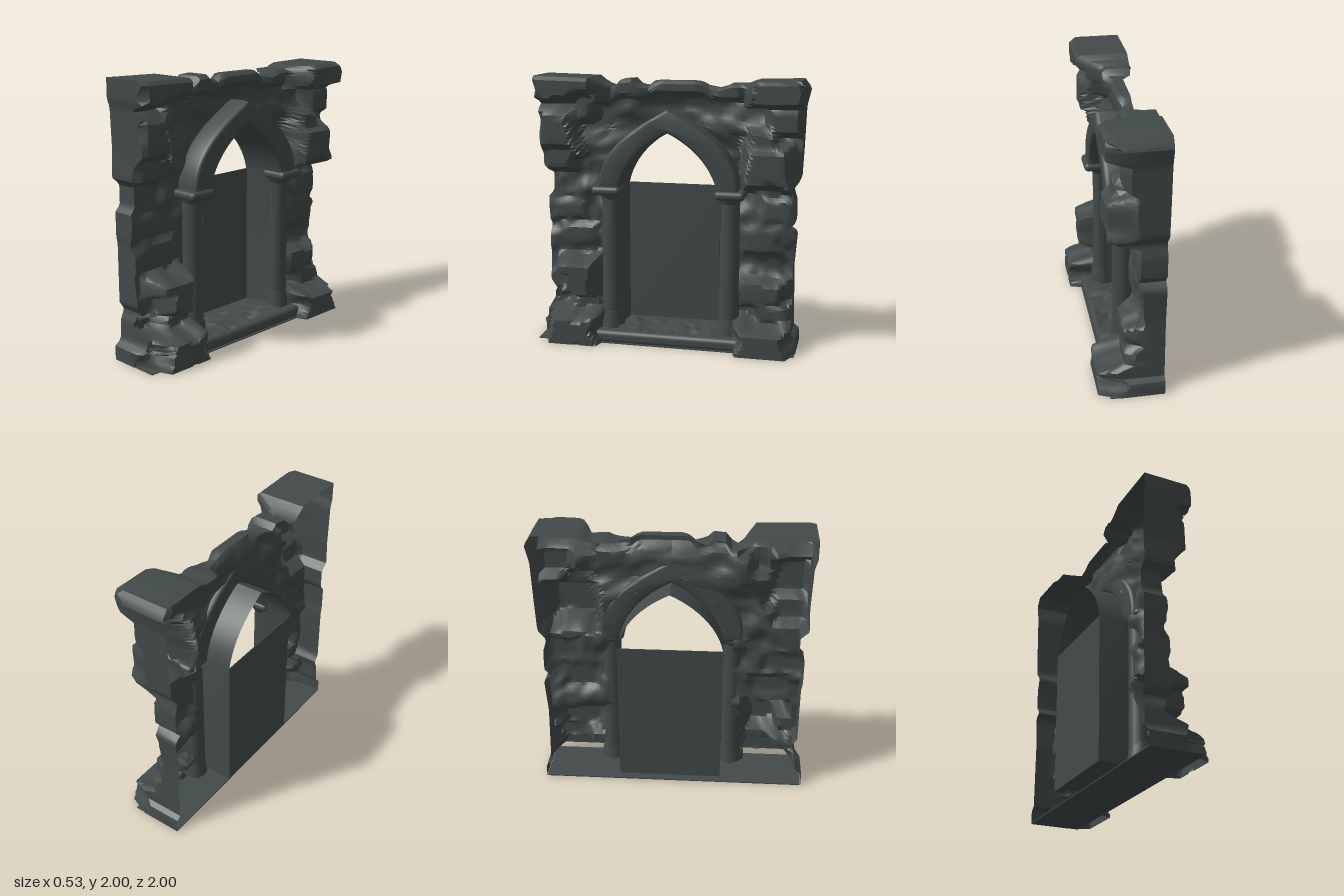
import * as THREE from 'three';
import { toCreasedNormals } from 'three/addons/utils/BufferGeometryUtils.js';
import { RoundedBoxGeometry } from 'three/addons/geometries/RoundedBoxGeometry.js';

const stone = new THREE.MeshStandardMaterial({ color: 0x424a49, side: THREE.DoubleSide });
stone.name = 'darkStone';

const clamp = (v, a = 0, b = 1) => Math.min(b, Math.max(a, v));
const hash = (a, b) => {
  const s = Math.sin(a * 127.1 + b * 311.7) * 43758.5453;
  return s - Math.floor(s);
};

// Smooth value noise in 0..1
function noise(u, v) {
  const i = Math.floor(u), j = Math.floor(v);
  const f = THREE.MathUtils.smoothstep(u - i, 0, 1), g = THREE.MathUtils.smoothstep(v - j, 0, 1);
  const { lerp } = THREE.MathUtils;
  return lerp(lerp(hash(i, j), hash(i + 1, j), f), lerp(hash(i, j + 1), hash(i + 1, j + 1), f), g);
}

// Piecewise linear lookup in a list of [key, value]
function lookup(table, v) {
  if (v <= table[0][0]) return table[0][1];
  for (let i = 1; i < table.length; i++) {
    const [a, p] = table[i - 1], [b, q] = table[i];
    if (v <= b) return p + (q - p) * (v - a) / (b - a);
  }
  return table[table.length - 1][1];
}

// Surface through rows of [x, y, z] points
function sheet(rows, flip, crease) {
  const n = rows[0].length, index = [];
  for (let j = 0; j < rows.length - 1; j++)
    for (let i = 0; i < n - 1; i++) {
      const a = j * n + i, b = a + 1, c = a + n, d = c + 1;
      if (flip) index.push(a, c, b, b, c, d);
      else index.push(a, b, c, b, d, c);
    }
  const g = new THREE.BufferGeometry();
  g.setAttribute('position', new THREE.Float32BufferAttribute(rows.flat(2), 3));
  g.setIndex(index);
  return toCreasedNormals(g, crease);
}

// Ruined outline: end edges by height, top edge and back of the top by z
const leftEdge = [[0, 1], [0.11, 1], [0.14, 0.95], [0.3, 0.94], [0.36, 0.91], [0.42, 0.95], [0.85, 0.95], [0.9, 0.96],
  [1.08, 0.96], [1.12, 0.92], [1.27, 0.92], [1.32, 0.98], [1.5, 0.97], [1.8, 0.98], [1.86, 1], [2, 1]];
const rightEdge = [[0, 0.96], [0.1, 0.96], [0.13, 0.92], [0.6, 0.91], [0.86, 0.93], [0.9, 0.87], [0.95, 0.92], [1.1, 0.92],
  [1.2, 0.89], [1.27, 0.95], [1.5, 0.96], [1.8, 0.97], [1.93, 1], [2, 0.95]];
const topEdge = [[-1, 1.99], [-0.62, 1.98], [-0.55, 1.95], [-0.42, 1.95], [-0.38, 1.92], [-0.27, 1.94], [-0.22, 1.97],
  [0.12, 1.97], [0.17, 1.93], [0.25, 1.94], [0.28, 1.98], [0.38, 1.97], [0.43, 1.91], [0.52, 1.94], [0.58, 1.99], [1, 2]];
const backEdge = [[-0.41, -0.22], [-0.37, -0.09], [0.18, -0.1], [0.24, -0.18], [0.36, -0.19], [0.42, -0.22]];

// Protruding stones: z, y, half width, half height, face x
const blocks = [
  [0.79, 1.93, 0.3, 0.13, 0.17], [0.85, 1.6, 0.18, 0.2, 0.12], [0.85, 1.38, 0.14, 0.11, 0.04],
  [0.64, 1.76, 0.09, 0.13, 0.06], [0.72, 0.47, 0.19, 0.18, 0.17], [0.88, 0.42, 0.12, 0.09, -0.02],
  [0.65, 0.24, 0.16, 0.09, 0.05], [0.72, 0.09, 0.27, 0.16, 0.26], [0.72, 0.8, 0.16, 0.08, -0.03],
  [0.8, 0.98, 0.18, 0.09, -0.04],
  [-0.8, 1.91, 0.27, 0.13, 0.2], [-0.73, 1.38, 0.21, 0.2, 0.18], [-0.69, 1.56, 0.13, 0.09, 0.12],
  [-0.84, 1.7, 0.16, 0.13, 0.08], [-0.7, 0.42, 0.2, 0.12, 0.06], [-0.78, 0.27, 0.17, 0.1, 0.06],
  [-0.72, 0.08, 0.26, 0.15, 0.25], [-0.68, 0.8, 0.15, 0.1, -0.02], [-0.8, 1.04, 0.13, 0.1, -0.02],
  [0.32, 1.92, 0.13, 0.09, 0.02], [-0.05, 1.94, 0.24, 0.07, 0], [-0.42, 1.91, 0.15, 0.08, 0.02],
];

// Face of the masonry: recessed weathered field with the big stones standing out
function faceX(z, y) {
  let x = -0.105 + 0.07 * noise(z * 6 + 9, y * 8) + 0.025 * noise(z * 15, y * 19);
  x += 0.04 * clamp((y - 1.28) * 8) * clamp((Math.abs(z) - 0.5) * 5);
  for (const [bz, by, w, h, d] of blocks) {
    const r = Math.max(Math.abs(z - bz) / w, Math.abs(y - by) / h) + 0.3 * (noise(z * 9 + 5, y * 9) - 0.5);
    x += (d - x) * clamp((1 - r) * 2.6);
  }
  return x;
}

// One half of the broken wall: face, return at its end, and top
function wallHalf(side) {
  const rows = [], edge = side > 0 ? leftEdge : rightEdge, N = 76, M = 24;
  for (let j = 0; j <= N; j++) {
    const y0 = 2 * j / N, t = clamp((y0 - 1.17) / 0.52), row = [];
    const inner = 0.45 * (1 - t * t), outer = lookup(edge, y0);
    for (let i = 0; i <= M; i++) {
      const z = side * (inner + (outer - inner) * i / M);
      const y = y0 + (lookup(topEdge, z) - 2) * clamp((y0 - 1.7) / 0.3);
      row.push([faceX(z, y) - (j === N ? 0.03 : 0), y, z]);
    }
    const [, ey, ez] = row[M];
    row.push([-0.13, ey, ez], [-0.22, ey, ez]);
    rows.push(row);
  }
  rows.push(rows[N].map(([x, y, z]) => [Math.min(x, lookup(backEdge, z)), y, z]));
  return sheet(rows, side > 0, 0.6);
}

export function createModel() {
  const model = new THREE.Group();
  const add = (name, geometry, x = 0, y = 0, z = 0) => {
    const m = new THREE.Mesh(geometry, stone);
    m.name = name;
    m.position.set(x, y, z);
    model.add(m);
    return m;
  };

  add('leftWall', wallHalf(1));
  add('rightWall', wallHalf(-1));

  // Thin base, rounded sill and uneven doorway floor
  add('basePlate', new THREE.BoxGeometry(0.39, 0.008, 1.95), -0.025, 0.004, 0.02);
  add('sill', new RoundedBoxGeometry(0.11, 0.095, 1.12, 3, 0.035), 0.112, 0.0475, 0);
  const floor = [];
  for (let i = 0; i <= 8; i++) {
    const x = -0.27 + 0.41 * i / 8, row = [];
    for (let j = 0; j <= 16; j++) {
      const rough = i > 1 ? 0.03 * hash(i, j) : 0;
      row.push([x, 0.09 + rough, -0.38 + 0.76 * j / 16]);
    }
    floor.push(row);
  }
  add('doorwayFloor', sheet(floor, true, 0.4));

  // Pointed arch moulding standing proud of the wall
  const arch = new THREE.Shape();
  arch.moveTo(0.5, 1.17);
  arch.bezierCurveTo(0.51, 1.42, 0.32, 1.57, 0, 1.75);
  arch.bezierCurveTo(-0.32, 1.57, -0.51, 1.42, -0.5, 1.17);
  arch.lineTo(-0.39, 1.17);
  arch.bezierCurveTo(-0.35, 1.39, -0.18, 1.54, 0, 1.625);
  arch.bezierCurveTo(0.18, 1.54, 0.35, 1.39, 0.39, 1.17);
  const moulding = new THREE.ExtrudeGeometry(arch, {
    depth: 0.13, curveSegments: 14, bevelEnabled: true, bevelThickness: 0.035, bevelSize: 0.022, bevelSegments: 3,
  });
  add('archMoulding', toCreasedNormals(moulding, 0.7), -0.045).rotation.y = Math.PI / 2;

  // Deep reveal: jambs and pointed vault running to the back
  const half = new THREE.CubicBezierCurve(new THREE.Vector2(0.38, 1.17), new THREE.Vector2(0.335, 1.38),
    new THREE.Vector2(0.17, 1.52), new THREE.Vector2(0, 1.6)).getPoints(12).map(p => [p.x, p.y]);
  const outline = [[0.38, 0.09], ...half, ...half.slice(0, -1).reverse().map(([z, y]) => [-z, y]), [-0.38, 0.09]];
  const reveal = [0.03, -0.27].map(x => outline.map(([z, y]) => [x, y, z]));
  add('archReveal', sheet(reveal, false, 0.6));
  add('backPanel', new THREE.BoxGeometry(0.006, 1.08, 0.76), -0.267, 0.63, 0);

  // Columns with plinths and capitals
  for (const s of [1, -1]) {
    const z = s * 0.45;
    add('column', new THREE.CylinderGeometry(0.07, 0.077, 1.06, 20), 0, 0.63, z);
    add('columnPlinth', new THREE.CylinderGeometry(0.078, 0.092, 0.13, 20), 0.005, 0.155, z);
    add('capital', new RoundedBoxGeometry(0.22, 0.065, 0.22, 4, 0.03), 0.035, 1.165, s * 0.46);
    add('capitalNeck', new THREE.CylinderGeometry(0.095, 0.07, 0.05, 20), 0.01, 1.12, z);
  }
  return model;
}
